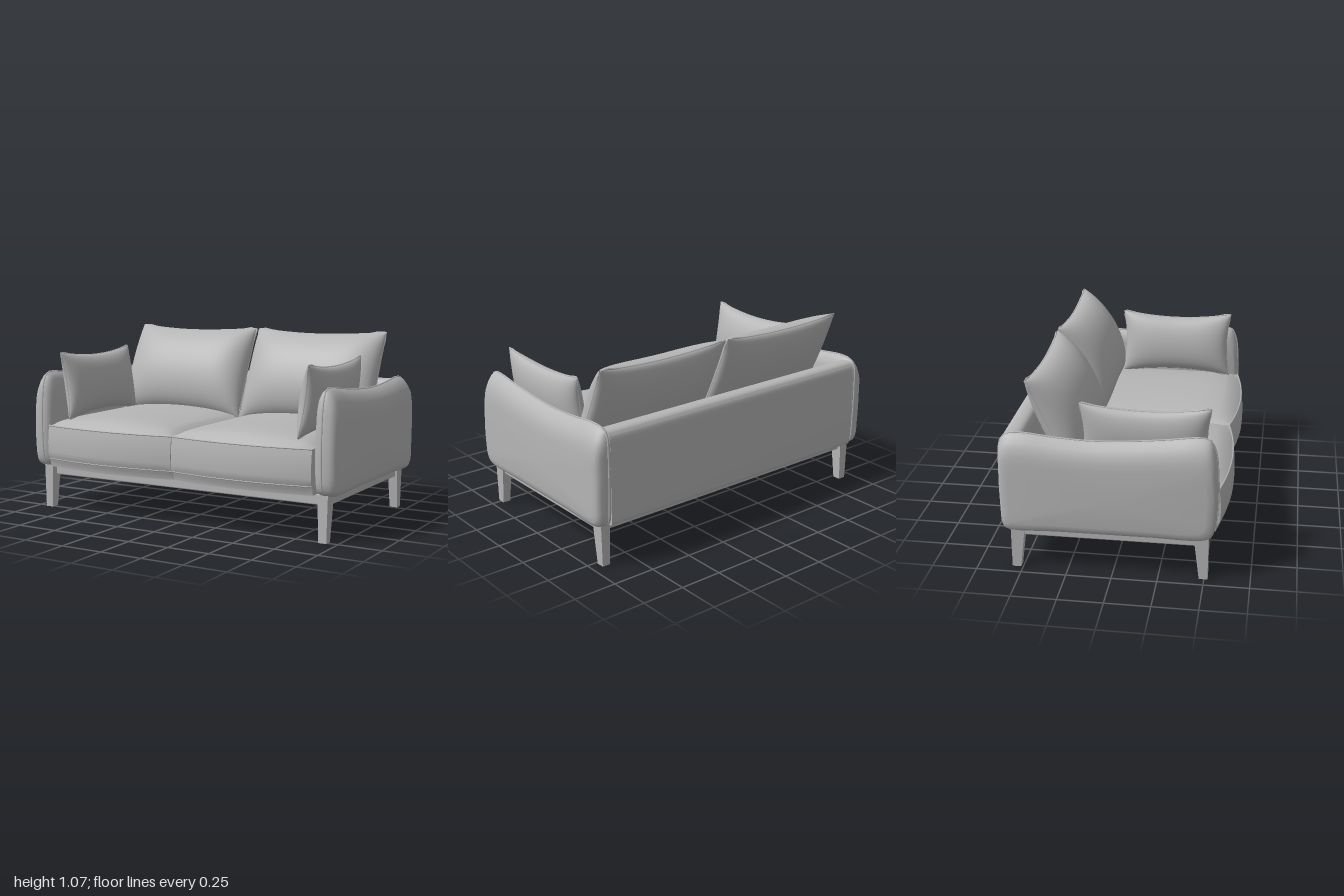
import * as THREE from 'three';
import { toCreasedNormals } from 'three/addons/utils/BufferGeometryUtils.js';
import { RoundedBoxGeometry } from 'three/addons/geometries/RoundedBoxGeometry.js';

const grey = new THREE.MeshStandardMaterial({ color: 0xb6b6b6 });

function add(parent, name, geometry, x = 0, y = 0, z = 0) {
  const mesh = new THREE.Mesh(geometry, grey);
  mesh.name = name;
  mesh.position.set(x, y, z);
  parent.add(mesh);
  return mesh;
}

// Move every vertex of a geometry by a rule
function reshape(geometry, rule) {
  const p = geometry.attributes.position;
  const v = new THREE.Vector3();
  for (let i = 0; i < p.count; i++) {
    rule(v.fromBufferAttribute(p, i));
    p.setXYZ(i, v.x, v.y, v.z);
  }
  geometry.computeVertexNormals();
  return geometry;
}

function piping(points, closed, radius = 0.006) {
  const curve = new THREE.CatmullRomCurve3(points, closed, 'centripetal');
  return new THREE.TubeGeometry(curve, points.length * 2, radius, 6, closed);
}

// Stuffed cushion: two bulged faces joined at a piped rim with drawn-out corners
function pillow(name, w, h, front, back, dipX, dipY) {
  const group = new THREE.Group();
  group.name = name;
  const rim = (u, v, z = 0) => new THREE.Vector3(
    u * (w / 2 - dipX * (1 - v * v)), v * (h / 2 - dipY * (1 - u * u)), z);
  for (const [side, depth] of [['Front', front], ['Back', back]]) {
    const s = side === 'Front' ? 1 : -1;
    const face = new THREE.PlaneGeometry(2, 2, 28, 24);
    if (s < 0) face.rotateY(Math.PI);
    reshape(face, (p) => {
      const u = Math.sin(p.x * Math.PI / 2), v = Math.sin(p.y * Math.PI / 2);
      const bulge = Math.sqrt(Math.max(0, (1 - u ** 4) * (1 - v * v)));
      p.copy(rim(u, v, s * depth * bulge));
    });
    add(group, name + side, face);
  }
  const edge = [];
  const n = 8;
  for (let k = 0; k < 4; k++) {
    for (let i = 0; i < n; i++) {
      const t = -0.98 + 1.96 * i / n;
      const [u, v] = [[t, -0.99], [0.99, t], [-t, 0.99], [-0.99, -t]][k];
      edge.push(rim(u, v));
    }
  }
  add(group, name + 'Piping', piping(edge, true));
  return group;
}

// Arm: a wavy side outline lofted across its width
function buildArm(parent) {
  const outline = new THREE.CatmullRomCurve3([
    [0.565, 0.45], [0.56, 0.65], [0.545, 0.76], [0.515, 0.818], [0.46, 0.828],
    [0.3, 0.808], [0.05, 0.783], [-0.15, 0.777], [-0.33, 0.788], [-0.49, 0.803],
    [-0.57, 0.792], [-0.602, 0.755], [-0.612, 0.6], [-0.61, 0.4], [-0.602, 0.28],
    [-0.58, 0.25], [-0.3, 0.25], [0.2, 0.252], [0.51, 0.256], [0.545, 0.285],
  ].map(([z, y]) => new THREE.Vector3(0, y, z)), true, 'centripetal').getPoints(90).slice(0, 90);
  // x, height scale, depth scale, lift of the bottom
  const rings = [
    [0.878, 0, 0, 0.2], [0.878, 0.84, 0.95, 0.012], [0.886, 0.92, 0.975, 0.004],
    [0.903, 0.975, 0.99, 0], [0.925, 1, 1, 0], [0.945, 0.98, 0.998, 0],
    [0.967, 0.93, 0.992, 0], [0.985, 0.86, 0.98, 0.008], [0.996, 0.75, 0.955, 0.025],
    [1.0, 0.62, 0.9, 0.05], [1.0, 0, 0, 0.2],
  ];
  const pos = [], index = [];
  const n = outline.length;
  rings.forEach(([x, ky, kz, lift], i) => {
    outline.forEach((p, j) => {
      pos.push(x, 0.25 + lift + (p.y - 0.25) * ky, -0.023 + (p.z + 0.023) * kz);
      if (i === rings.length - 1) return;
      const a = i * n + j, b = i * n + (j + 1) % n;
      index.push(a, a + n, b, b, a + n, b + n);
    });
  });
  const geo = new THREE.BufferGeometry();
  geo.setAttribute('position', new THREE.Float32BufferAttribute(pos, 3));
  geo.setIndex(index);
  add(parent, 'arm', toCreasedNormals(geo, 0.9));
  const seam = outline.filter((p, j) => j % 2 === 0)
    .map((p) => new THREE.Vector3(0.925, p.y, p.z));
  add(parent, 'armPiping', piping(seam, true, 0.005));
}

// Seat cushion: crowned top, bowed front, piping along the front edges
function buildSeat(parent) {
  const half = 0.436;
  const bow = (x) => 0.045 * (1 - (x / half) ** 2);
  const seat = reshape(new THREE.BoxGeometry(half * 2, 0.25, 1.055, 24, 8, 24), (p) => {
    const u = p.x / half, v = p.y / 0.125, w = p.z / 0.5275;
    const rise = (v + 1) / 2;
    p.y += 0.07 * rise * Math.sqrt(Math.max(0, (1 - u * u) * (1 - w ** 6)));
    p.z += Math.max(0, w) ** 3 * (bow(p.x) + 0.012 * (1 - v * v));
    if (v < -0.7) p.z -= 0.015 * Math.max(0, w) ** 3;
  });
  add(parent, 'seatCushion', seat, 0.438, 0.385, 0.0375);
  for (const [name, y] of [['seatTopPiping', 0.51], ['seatLowerPiping', 0.31]]) {
    const line = [];
    for (let i = 0; i <= 12; i++) {
      const x = -half + half * 2 * i / 12;
      line.push(new THREE.Vector3(x + 0.438, y, 0.565 + bow(x)));
    }
    add(parent, name, piping(line, false, 0.005));
  }
}

// Tapered leg, straight on its outer end
function buildLeg(parent, z, dir) {
  const leg = reshape(new THREE.BoxGeometry(0.06, 0.26, 0.08), (p) => {
    if (p.y > 0) return;
    p.x *= 0.8;
    if (p.z * dir < 0) p.z += dir * 0.032;
  });
  add(parent, 'leg', leg, 0.917, 0.13, z);
}

export function createModel() {
  const sofa = new THREE.Group();
  sofa.name = 'sofa';

  // Mirrored halves
  for (const s of [1, -1]) {
    const half = new THREE.Group();
    half.name = s > 0 ? 'leftHalf' : 'rightHalf';
    half.scale.x = s;
    sofa.add(half);
    buildArm(half);
    buildSeat(half);
    buildLeg(half, 0.48, 1);
    buildLeg(half, -0.52, -1);
    add(half, 'sideRail', new RoundedBoxGeometry(0.045, 0.062, 1.0, 2, 0.008), 0.912, 0.227, -0.02);

    const backCushion = pillow('backCushion', 0.862, 0.605, 0.155, 0.08, 0.006, 0.03);
    backCushion.position.set(0.439, 0.795, -0.345);
    backCushion.rotation.x = -0.427;
    half.add(backCushion);

    const armPillow = pillow('armPillow', 0.71, 0.405, 0.078, 0.072, 0.025, 0.034);
    armPillow.position.set(0.79, 0.748, 0.16);
    armPillow.rotation.set(-0.15, -Math.PI / 2, 0, 'YXZ');
    half.add(armPillow);
  }

  // Front and back rails of the base
  for (const z of [0.457, -0.512]) {
    add(sofa, 'baseRail', new RoundedBoxGeometry(1.82, 0.062, 0.05, 2, 0.008), 0, 0.227, z);
  }

  // Back panel with a rolled top
  const profile = new THREE.Shape();
  profile.moveTo(0.49, 0.25);
  profile.lineTo(0.595, 0.25);
  profile.quadraticCurveTo(0.61, 0.25, 0.61, 0.28);
  profile.lineTo(0.608, 0.7);
  profile.bezierCurveTo(0.607, 0.77, 0.59, 0.785, 0.55, 0.785);
  profile.bezierCurveTo(0.51, 0.785, 0.49, 0.77, 0.49, 0.72);
  const panel = new THREE.ExtrudeGeometry(profile, { depth: 1.82, bevelEnabled: false, curveSegments: 10 });
  panel.rotateY(Math.PI / 2).translate(-0.91, 0, 0);
  add(sofa, 'backPanel', toCreasedNormals(panel, 0.6));

  return sofa;
}
